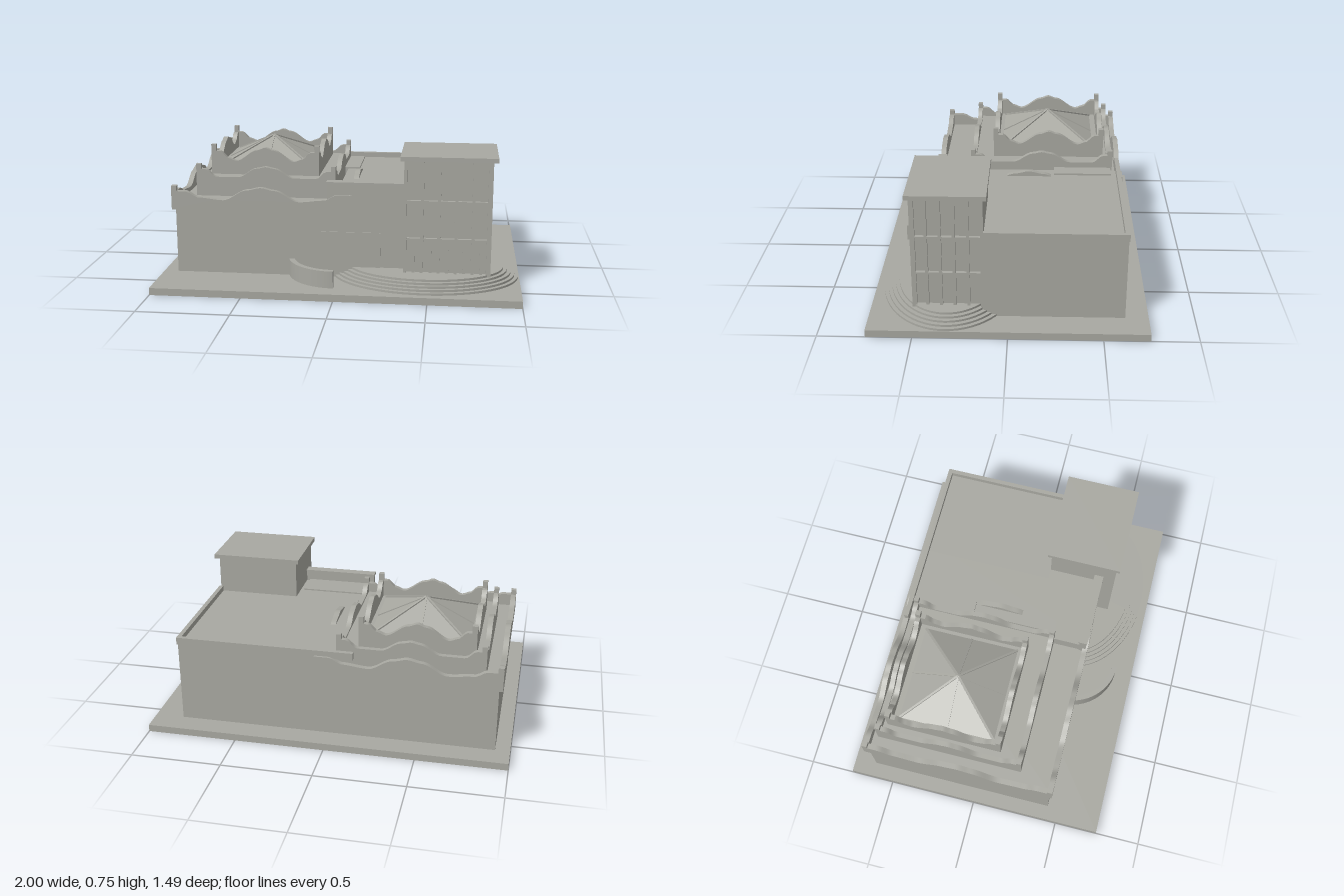
import * as THREE from 'three';
import { toCreasedNormals } from 'three/addons/utils/BufferGeometryUtils.js';

const stone = new THREE.MeshStandardMaterial({ color: 0xa8a8a1 });
stone.name = 'stone grey';

function add(parent, name, geometry) {
  const mesh = new THREE.Mesh(geometry, stone);
  mesh.name = name;
  parent.add(mesh);
  return mesh;
}

// Box given by its two extreme corners
function block(parent, name, x0, x1, y0, y1, z0, z1) {
  const mesh = add(parent, name, new THREE.BoxGeometry(x1 - x0, y1 - y0, z1 - z0));
  mesh.position.set((x0 + x1) / 2, (y0 + y1) / 2, (z0 + z1) / 2);
  return mesh;
}

// Height of a wave at u (0 = middle, 1 = corner), eased between key points
function waveHeight(points, u) {
  for (let i = 1; i < points.length; i++) {
    const [u0, h0] = points[i - 1], [u1, h1] = points[i];
    if (u <= u1) {
      const t = (u - u0) / (u1 - u0);
      return h0 + (h1 - h0) * t * t * (3 - 2 * t);
    }
  }
  return points[points.length - 1][1];
}

// Wall panel with a mirrored wavy top edge, centred on x and z
function waveWall(length, thick, base, points) {
  const shape = new THREE.Shape();
  const half = length / 2, n = 48;
  shape.moveTo(half, base);
  for (let i = 0; i <= n; i++) {
    const u = 1 - (2 * i) / n;
    shape.lineTo(u * half, waveHeight(points, Math.abs(u)));
  }
  shape.lineTo(-half, base);
  const geometry = new THREE.ExtrudeGeometry(shape, { depth: thick, bevelEnabled: false });
  geometry.translate(0, 0, -thick / 2);
  return toCreasedNormals(geometry, 0.5);
}

// Four wavy walls round a rectangle, with raised corner posts
function waveTier(parent, name, { x0, x1, z0, z1, base, points, post, thick, leftPosts = true }) {
  const tier = new THREE.Group();
  tier.name = name;
  parent.add(tier);
  const cx = (x0 + x1) / 2, cz = (z0 + z1) / 2;
  for (const z of [z0 + thick / 2, z1 - thick / 2]) {
    add(tier, 'wavyWall', waveWall(x1 - x0, thick, base, points)).position.set(cx, 0, z);
  }
  for (const x of [x0 + thick / 2, x1 - thick / 2]) {
    const wall = add(tier, 'wavySideWall', waveWall(z1 - z0, thick, base, points));
    wall.position.set(x, 0, cz);
    wall.rotation.y = Math.PI / 2;
  }
  for (const x of leftPosts ? [x0, x1 - thick] : [x0]) {
    for (const z of [z0, z1 - thick]) {
      block(tier, 'cornerPost', x, x + thick, base, post, z, z + thick);
    }
  }
}

function addSkylight(parent) {
  const cx = -0.47, cz = -0.2, base = 0.575, top = 0.72, half = 0.28;
  const cone = new THREE.ConeGeometry(half * Math.SQRT2, top - base, 4, 1).toNonIndexed();
  cone.rotateY(Math.PI / 4);
  cone.computeVertexNormals();
  add(parent, 'skylight', cone).position.set(cx, (base + top) / 2, cz);
  // Ribs along the corners and the middle of each face
  const apex = new THREE.Vector3(cx, top, cz);
  for (let i = 0; i < 8; i++) {
    const a = (i * Math.PI) / 4;
    const reach = (i % 2 ? Math.SQRT2 : 1) * half * 0.96;
    const end = new THREE.Vector3(cx + Math.cos(a) * reach, base + 0.007, cz + Math.sin(a) * reach);
    const rib = add(parent, 'skylightRib', new THREE.BoxGeometry(0.012, 0.01, apex.distanceTo(end)));
    rib.position.copy(apex).add(end).multiplyScalar(0.5);
    rib.lookAt(apex);
  }
}

function addTower(parent) {
  const tower = new THREE.Group();
  tower.name = 'tower';
  parent.add(tower);
  const x0 = 0.36, x1 = 0.835, z0 = 0.13, z1 = 0.51, y0 = 0.04, y1 = 0.73, w = 0.016;
  block(tower, 'towerCore', x0, x1 - 0.02, y0, y1, z0, z1 - 0.02);
  block(tower, 'towerCap', 0.34, 0.86, 0.725, 0.75, 0.11, 0.53);
  // Upright bars on the front and the outer side
  for (let i = 0; i <= 5; i++) {
    const x = x0 + ((x1 - x0 - w) * i) / 5, z = z0 + ((z1 - z0 - w) * i) / 5;
    block(tower, 'frontMullion', x, x + w, y0, y1, z1 - 0.025, z1);
    block(tower, 'sideMullion', x1 - 0.025, x1, y0, y1, z, z + w);
    if (i < 5) {
      const mid = x + (x1 - x0) / 10;
      block(tower, 'lowerMullion', mid, mid + w, y0, 0.285, z1 - 0.025, z1 - 0.006);
    }
  }
  // Floor bands
  for (const y of [0.285, 0.495, 0.722]) {
    block(tower, 'frontBand', x0, x1, y, y + 0.011, z1 - 0.025, z1 - 0.001);
    block(tower, 'sideBand', x1 - 0.025, x1 - 0.001, y, y + 0.011, z0, z1);
  }
}

export function createModel() {
  const model = new THREE.Group();
  model.name = 'building';

  block(model, 'base', -1, 1, 0, 0.04, -0.745, 0.745);

  // Main volumes
  block(model, 'lowWing', -0.92, 0.05, 0.04, 0.44, -0.62, 0.435);
  block(model, 'highWing', -0.02, 0.36, 0.04, 0.51, -0.62, 0.435);
  block(model, 'highWingBack', 0.3, 0.84, 0.04, 0.51, -0.62, 0.13);
  block(model, 'frontScreen', -0.065, 0.36, 0.04, 0.57, 0.4, 0.438);
  block(model, 'frontScreenCap', -0.07, 0.36, 0.57, 0.582, 0.39, 0.443);
  block(model, 'entrancePanel', -0.1, 0.23, 0.04, 0.3, 0.435, 0.443);

  // Roof edge and raised roof pads
  block(model, 'sideParapet', 0.822, 0.846, 0.5, 0.54, -0.625, 0.13);
  block(model, 'backParapet', -0.14, 0.846, 0.5, 0.54, -0.625, -0.6);
  block(model, 'backRoofPad', -0.13, 0.05, 0.44, 0.52, -0.57, -0.24);
  block(model, 'frontRoofPad', -0.06, 0.34, 0.44, 0.518, 0.24, 0.4);

  // Stepped roof with wavy edges
  waveTier(model, 'outerTier', {
    x0: -0.94, x1: 0.07, z0: -0.637, z1: 0.45, base: 0.405, thick: 0.03, post: 0.54, leftPosts: false,
    points: [[0, 0.54], [0.15, 0.525], [0.42, 0.465], [0.7, 0.478], [0.84, 0.51], [1, 0.51]],
  });
  block(model, 'middleTierFloor', -0.83, -0.05, 0.42, 0.54, -0.57, 0.24);
  waveTier(model, 'middleTier', {
    x0: -0.845, x1: -0.04, z0: -0.58, z1: 0.25, base: 0.43, thick: 0.028, post: 0.625,
    points: [[0, 0.615], [0.12, 0.605], [0.4, 0.552], [0.72, 0.552], [0.87, 0.595], [1, 0.595]],
  });
  block(model, 'upperTierFloor', -0.775, -0.165, 0.5, 0.58, -0.52, 0.11);
  waveTier(model, 'upperTier', {
    x0: -0.785, x1: -0.152, z0: -0.53, z1: 0.12, base: 0.52, thick: 0.028, post: 0.715,
    points: [[0, 0.7], [0.14, 0.685], [0.54, 0.62], [0.68, 0.635], [0.84, 0.675], [1, 0.675]],
  });
  addSkylight(model);

  addTower(model);

  // Oval entrance steps
  for (let i = 0; i < 5; i++) {
    const h = 0.012;
    const step = add(model, 'entranceStep', new THREE.CylinderGeometry(1, 1, h, 64));
    step.scale.set(0.52 - i * 0.021, 1, 0.375 - i * 0.021);
    step.position.set(0.475, 0.04 + h * (i + 0.5), 0.33);
  }

  // Curved garden wall
  const arc = new THREE.Shape();
  arc.absarc(-0.01, -0.365, 0.28, Math.PI * 1.08, Math.PI * 1.5, false);
  arc.absarc(-0.01, -0.365, 0.25, Math.PI * 1.5, Math.PI * 1.08, true);
  const wall = new THREE.ExtrudeGeometry(arc, { depth: 0.095, bevelEnabled: false, curveSegments: 24 });
  wall.rotateX(-Math.PI / 2);
  add(model, 'curvedWall', toCreasedNormals(wall, 0.5)).position.y = 0.04;

  return model;
}
